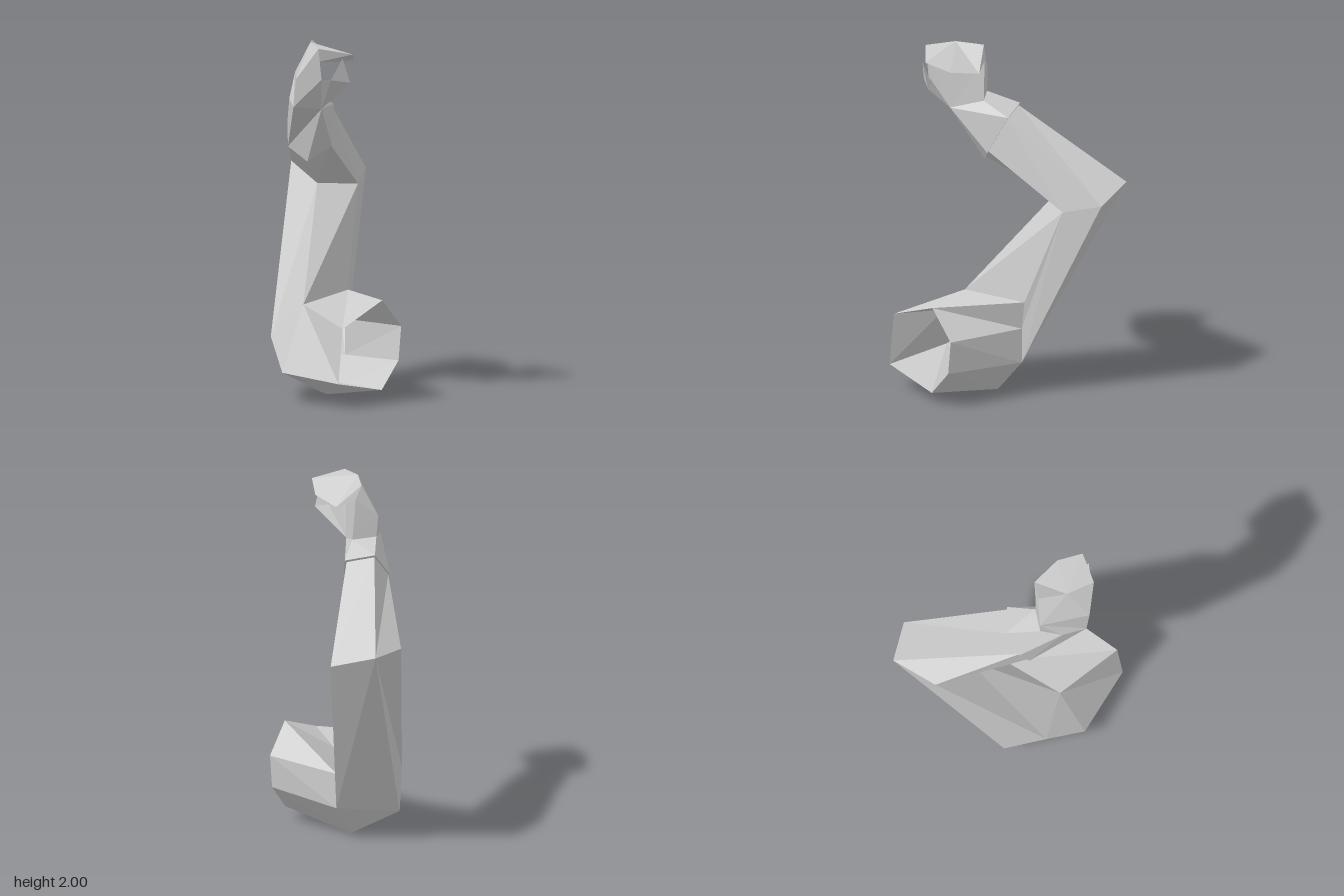
import * as THREE from 'three';

// Joint rings: each is a short cross-section of the arm, [x, y, z]
const opening = [[.465, .14, .5], [.465, .445, .465], [.465, .57, .135], [.465, .41, -.022], [.465, .22, 0], [.465, .07, .14]];
const shoulder = [[.05, .165, .5], [.06, .53, .335], [0, .56, -.103], [0, .4, -.08], [0, .2, -.08], [.02, 0, .1]];
const corner = [[-.15, .335, .37], [-.26, .16, .165]];
const elbow = [[-.465, 1.25, -.425], [-.465, 1.23, -.155], [-.22, 1.135, -.095], [-.105, 1.12, -.305], [-.22, 1.18, -.5]];
const cuff = [[-.14, 1.645, .1], [-.17, 1.51, .21], [-.13, 1.385, .25], [0, 1.31, .235], [.08, 1.395, .12], [.01, 1.61, .025]];
const wrist = [[-.045, 1.69, .27], [0, 1.68, .385], [.11, 1.65, .475], [.18, 1.63, .32], [.055, 1.68, .18]];

// Facets are fans of corners, turned to face away from the part's centre
function facets(name, faces, centre, material) {
  const c = new THREE.Vector3(...centre);
  const pos = [];
  for (const face of faces) {
    const p = face.map((v) => new THREE.Vector3(...v));
    for (let i = 1; i < p.length - 1; i++) {
      const tri = new THREE.Triangle(p[0], p[i], p[i + 1]);
      const n = tri.getNormal(new THREE.Vector3());
      const out = tri.getMidpoint(new THREE.Vector3()).sub(c).dot(n) >= 0;
      for (const v of out ? [tri.a, tri.b, tri.c] : [tri.a, tri.c, tri.b]) pos.push(v.x, v.y, v.z);
    }
  }
  const g = new THREE.BufferGeometry();
  g.setAttribute('position', new THREE.Float32BufferAttribute(pos, 3));
  g.computeVertexNormals();
  const mesh = new THREE.Mesh(g, material);
  mesh.name = name;
  return mesh;
}

export function createModel() {
  const group = new THREE.Group();
  group.name = 'arm';
  const grey = new THREE.MeshStandardMaterial({ color: 0xcccccc, flatShading: true, side: THREE.DoubleSide });
  grey.name = 'grey';
  const add = (name, faces, centre) => group.add(facets(name, faces, centre, grey));

  // Open shoulder sleeve
  add('shoulderSleeve', opening.map((o, i) => {
    const j = (i + 1) % 6;
    return [o, opening[j], shoulder[j], shoulder[i]];
  }), [.25, .3, .2]);

  // Upper arm, with the rounded shoulder corner below
  const [sFront, sTop, sBack, sBackMid, sBackLow, sBase] = shoulder;
  const [cFront, cLow] = corner;
  const [e1, e2, e3, e4, e5] = elbow;
  add('upperArm', [
    [e1, e2, cFront, cLow], [e3, sTop, cFront, e2], [e4, sBack, sTop, e3],
    [e4, e5, sBackLow, sBackMid, sBack], [e1, e5, sBackLow, cLow], [sBackLow, sBase, cLow],
    [cFront, sTop, sFront], [cFront, sFront, cLow], [cLow, sFront, sBase],
  ], [-.16, .6, -.02]);

  // Forearm, ending slightly inside the wider cuff
  const middle = [0, 1, 2].map((k) => cuff.reduce((sum, p) => sum + p[k], 0) / cuff.length);
  const [f1, f2, f3, f4, f5, f6] = cuff.map((p) => p.map((v, k) => v + (middle[k] - v) * .08));
  add('forearm', [
    [e1, e2, f2, f1], [e2, e3, f3, f2], [e3, f4, f3],
    [e3, e4, f5, f4], [e4, e5, f6, f5], [e5, e1, f1, f6],
  ], [-.17, 1.34, -.06]);

  // Cuff tapering to the wrist, with the lip around the forearm
  const [w1, w2, w3, w4, w5, w6] = cuff;
  const [v1, v2, v3, v4, v5] = wrist;
  add('wrist', [
    [w1, w6, v5, v1], [w6, w5, v4, v5], [w5, w4, v4], [w3, v3, v4, w4],
    [w3, w2, v2, v3], [w2, w1, v1], [w2, v1, v2],
    [w1, w6, f6, f1], [w6, w5, f5, f6], [w5, w4, f4, f5],
    [w4, w3, f3, f4], [w3, w2, f2, f3], [w2, w1, f1, f2],
  ], [0, 1.53, .24]);

  // Palm
  const side = [-.055, 1.81, .275], knuckle = [.135, 1.81, .48], grip = [.26, 1.81, .41];
  const topBack = [.02, 1.99, .22], topMid = [.12, 2, .345], topFront = [.26, 1.985, .435];
  const innerFront = [.25, 1.91, .42], innerBack = [.04, 1.91, .19];
  add('palm', [
    [side, topBack, topMid], [side, topMid, knuckle], [topMid, topFront, knuckle],
    [side, knuckle, v3, v2], [side, v2, v1], [knuckle, topFront, grip, v3], [v3, grip, v4],
    [side, v1, v5, innerBack, topBack], [v4, v5, innerBack, innerFront, grip], [topFront, innerFront, grip],
  ], [.08, 1.81, .34]);

  // Curled fingers over the grip
  const tipBack = [.13, 1.87, .13], tipMid = [.295, 1.9, .18], tip = [.385, 1.95, .29];
  add('fingers', [
    [topMid, topBack, tipBack, tipMid, tip, topFront],
    [innerFront, innerBack, tipBack, tipMid, tip], [topFront, innerFront, tip], [topBack, innerBack, tipBack],
  ], [.18, 1.945, .27]);

  // Thumb, a small wedge rising from the grip
  const thumbFront = [.31, 1.81, .39], thumbSide = [.365, 1.79, .29];
  const thumbTip = [.358, 1.93, .345], thumbInner = [.305, 1.8, .335];
  add('thumb', [
    [v4, grip, thumbFront, thumbSide], [v4, thumbSide, thumbInner, grip], [grip, thumbFront, thumbInner],
    [thumbFront, thumbTip, thumbSide], [thumbInner, thumbTip, thumbSide], [thumbFront, thumbInner, thumbTip],
  ], [.31, 1.8, .35]);

  return group;
}
